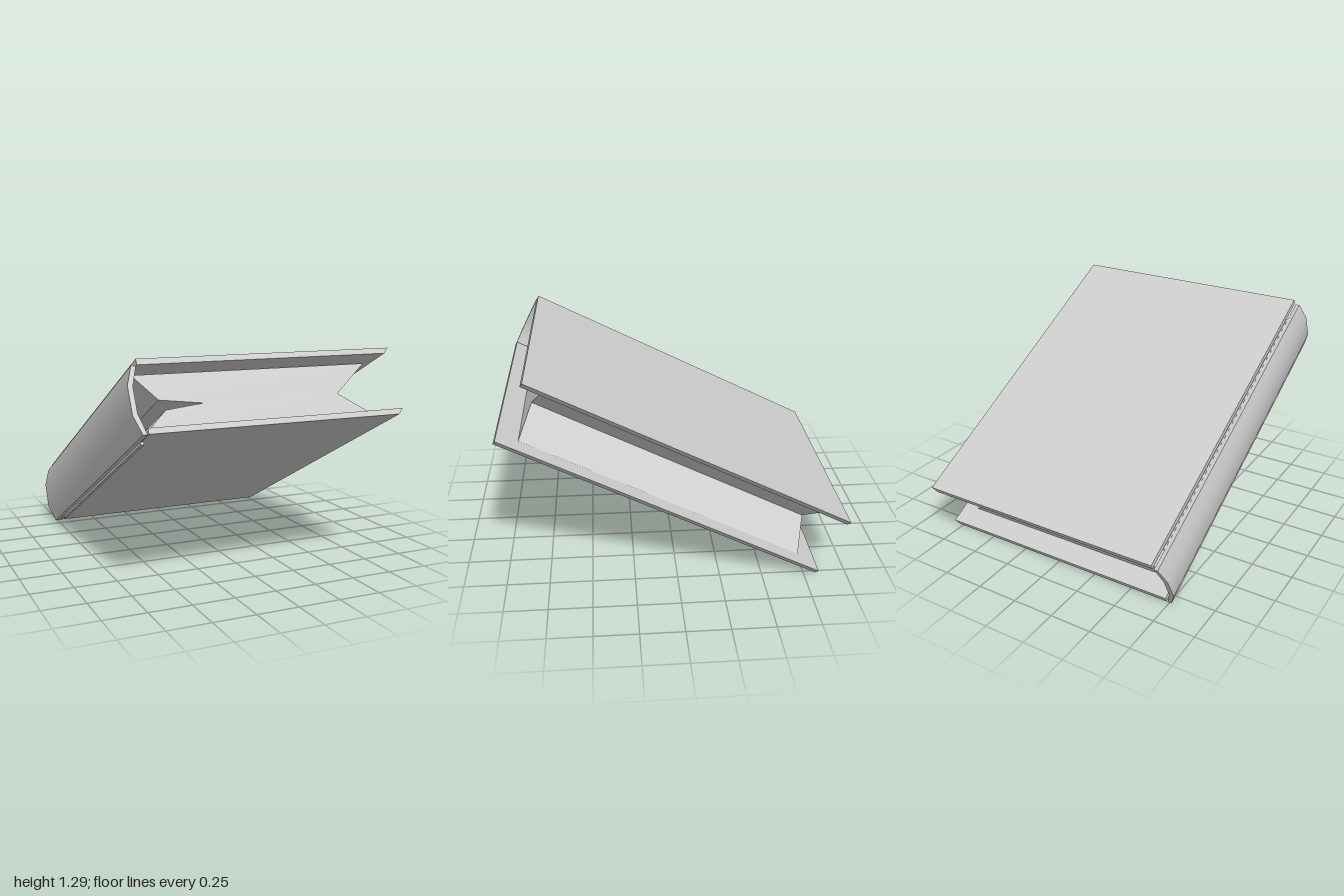
import * as THREE from 'three';
import { toCreasedNormals } from 'three/addons/utils/BufferGeometryUtils.js';

export function createModel() {
  const model = new THREE.Group();
  const book = new THREE.Group();
  book.name = 'book';
  model.add(book);

  const grey = new THREE.MeshStandardMaterial({ color: 0xcccccc });
  grey.name = 'plain grey';

  // Extrudes a cross-section (x, thickness) along the length of the book
  function bar(name, points, halfLength, crease = 0) {
    const shape = new THREE.Shape(points.map(([x, y]) => new THREE.Vector2(x, y)));
    let geometry = new THREE.ExtrudeGeometry(shape, { depth: 2 * halfLength, bevelEnabled: false });
    geometry.translate(0, 0, -halfLength);
    if (crease) geometry = toCreasedNormals(geometry, crease);
    const mesh = new THREE.Mesh(geometry, grey);
    mesh.name = name;
    book.add(mesh);
  }

  const half = 1.022;

  // Two cover boards with a slanted fore edge
  for (const s of [1, -1]) {
    bar(s > 0 ? 'topCover' : 'bottomCover', [
      [-0.732, 0.2 * s],
      [s > 0 ? 0.8 : 0.77, 0.2 * s],
      [s > 0 ? 0.77 : 0.8, 0.167 * s],
      [-0.732, 0.167 * s],
    ], half);
  }

  // Faceted, rounded spine
  bar('spine', [
    [-0.763, 0.165], [-0.8, 0.06], [-0.8, -0.098], [-0.763, -0.202],
    [-0.738, -0.202], [-0.772, -0.092], [-0.772, 0.054], [-0.738, 0.16],
  ], half, 0.7);

  // Page block with a hollow fore edge and a split beside the spine
  bar('pages', [
    [-0.728, 0.157], [0.7, 0.157], [0.48, -0.015], [0.7, -0.163],
    [-0.705, -0.163], [-0.57, -0.042], [-0.35, -0.018], [-0.6, 0.014],
  ], 0.897);

  // Narrow binding strip showing below the hinge gap
  bar('bindingStrip', [
    [-0.736, 0.157], [-0.728, 0.157], [-0.728, -0.2], [-0.718, -0.2],
    [-0.718, -0.217], [-0.736, -0.217],
  ], 0.89);

  // Lean the whole book back
  book.rotation.x = -0.4725;
  book.position.y = 0.648;
  return model;
}
